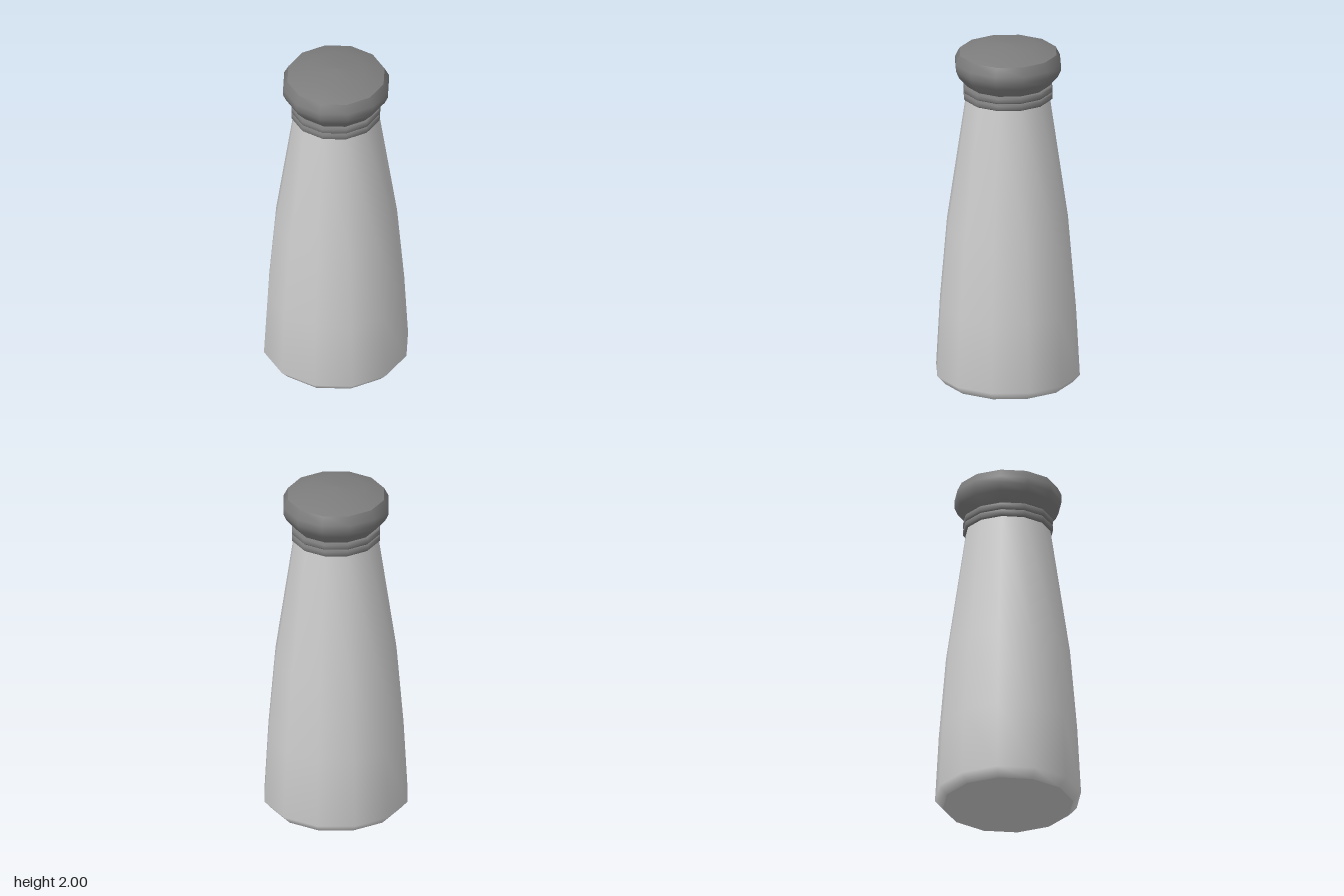
import * as THREE from 'three';

const SIDES = 12;

export function createModel() {
  const model = new THREE.Group();
  model.name = 'shaker';

  const pale = new THREE.MeshStandardMaterial({ color: 0xcccccc });
  pale.name = 'pale grey';
  const dark = new THREE.MeshStandardMaterial({ color: 0x7c7c7c });
  dark.name = 'dark grey';

  // Turned part from [radius, height] points, listed bottom to top
  function turn(name, profile, material) {
    const points = profile.map(([r, y]) => new THREE.Vector2(r, y));
    const mesh = new THREE.Mesh(new THREE.LatheGeometry(points, SIDES), material);
    mesh.name = name;
    model.add(mesh);
  }

  // Tapered body with a chamfered foot
  turn('body', [[0.37, 0], [0.415, 0.05], [0.393, 0.45], [0.352, 0.93], [0.24, 1.69]], pale);

  // Flat underside
  const base = new THREE.Mesh(new THREE.CircleGeometry(0.37, SIDES), pale);
  base.name = 'base';
  base.rotation.x = Math.PI / 2;
  model.add(base);

  // Two rounded collar rings
  for (const y of [1.68, 1.722]) {
    turn('collarRing', [
      [0.2, y], [0.248, y], [0.257, y + 0.009], [0.257, y + 0.031],
      [0.248, y + 0.04], [0.2, y + 0.04],
    ], dark);
  }

  // Bulging cap and its separate, shallow lid so the rim stays sharp
  turn('cap', [[0.235, 1.76], [0.287, 1.82], [0.305, 1.86], [0.305, 1.9], [0.28, 1.95]], dark);
  turn('capTop', [[0.28, 1.95], [0.16, 1.992], [0, 2]], dark);

  return model;
}
